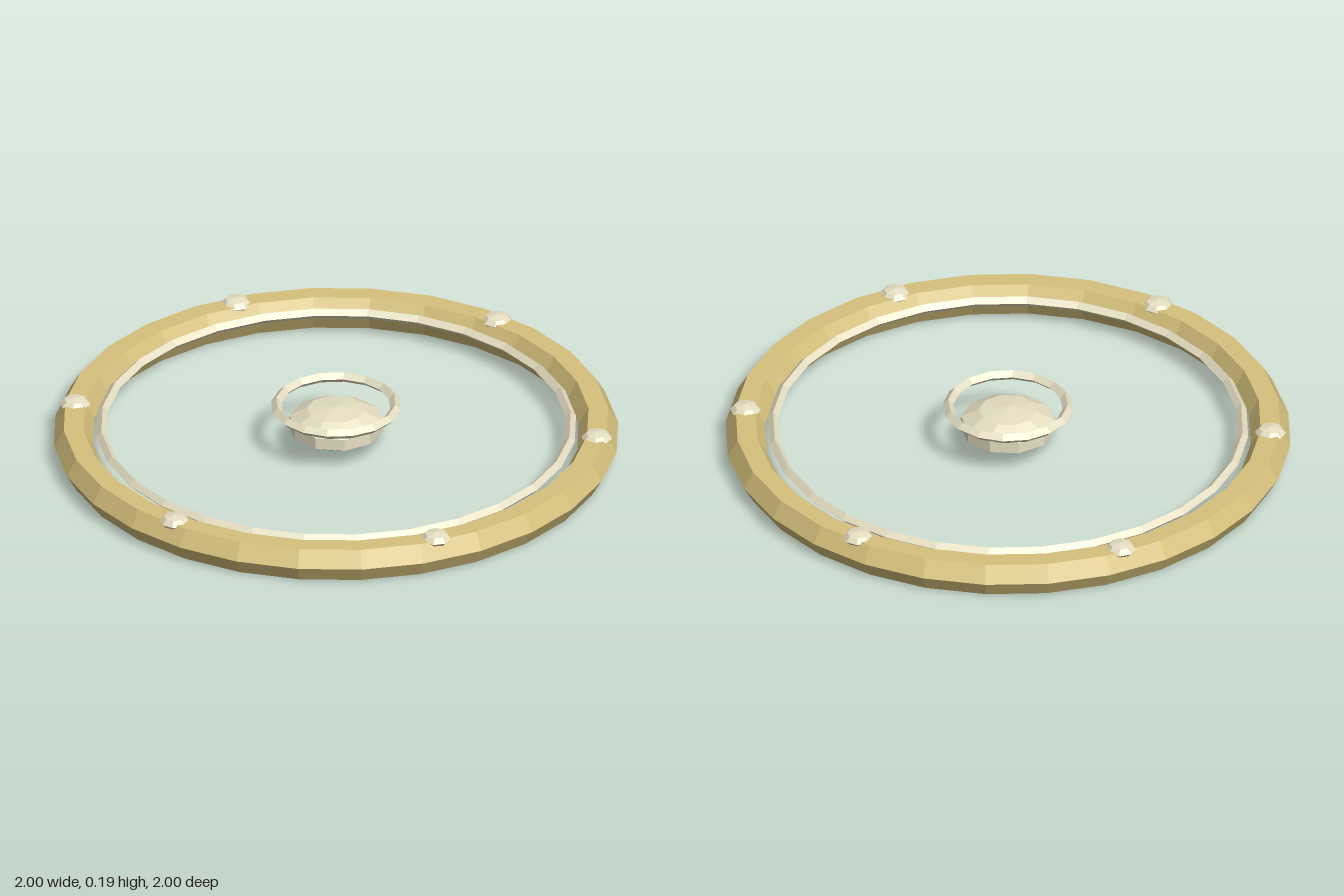
import * as THREE from 'three';

const gold = new THREE.MeshStandardMaterial({ color: 0xd6c17c, flatShading: true });
const cream = new THREE.MeshStandardMaterial({ color: 0xe6dfc2, flatShading: true });

// Horizontal faceted ring
function ring(name, radius, tube, sides, segments, y, material) {
  const geometry = new THREE.TorusGeometry(radius, tube, sides, segments);
  geometry.rotateX(-Math.PI / 2);
  const mesh = new THREE.Mesh(geometry, material);
  mesh.name = name;
  mesh.position.y = y;
  return mesh;
}

// Flattened faceted ball
function flatBall(name, radius, halfHeight, around, rows, material) {
  const geometry = new THREE.SphereGeometry(radius, around, rows);
  geometry.scale(1, halfHeight / radius, 1);
  const mesh = new THREE.Mesh(geometry, material);
  mesh.name = name;
  return mesh;
}

export function createModel() {
  const model = new THREE.Group();
  model.name = 'ringOrnament';

  // Hexagonal outer ring and the slim diamond-section ring inside it
  model.add(ring('outerRing', 0.93, 0.07, 6, 28, 0.0606, gold));
  model.add(ring('innerRing', 0.832, 0.019, 4, 28, 0.092, cream));

  // Central boss with a small ring floating above it
  const boss = flatBall('centreBoss', 0.175, 0.07, 10, 5, cream);
  boss.position.y = 0.104;
  model.add(boss);
  model.add(ring('centreRing', 0.212, 0.019, 4, 16, 0.175, cream));

  // Six studs around the outer ring
  const studs = new THREE.Group();
  studs.name = 'studs';
  for (let i = 0; i < 6; i++) {
    const angle = (i * Math.PI) / 3;
    const stud = flatBall('stud', 0.055, 0.025, 8, 4, cream);
    stud.position.set(0.93 * Math.cos(angle), 0.115, 0.93 * Math.sin(angle));
    studs.add(stud);
  }
  model.add(studs);

  return model;
}
